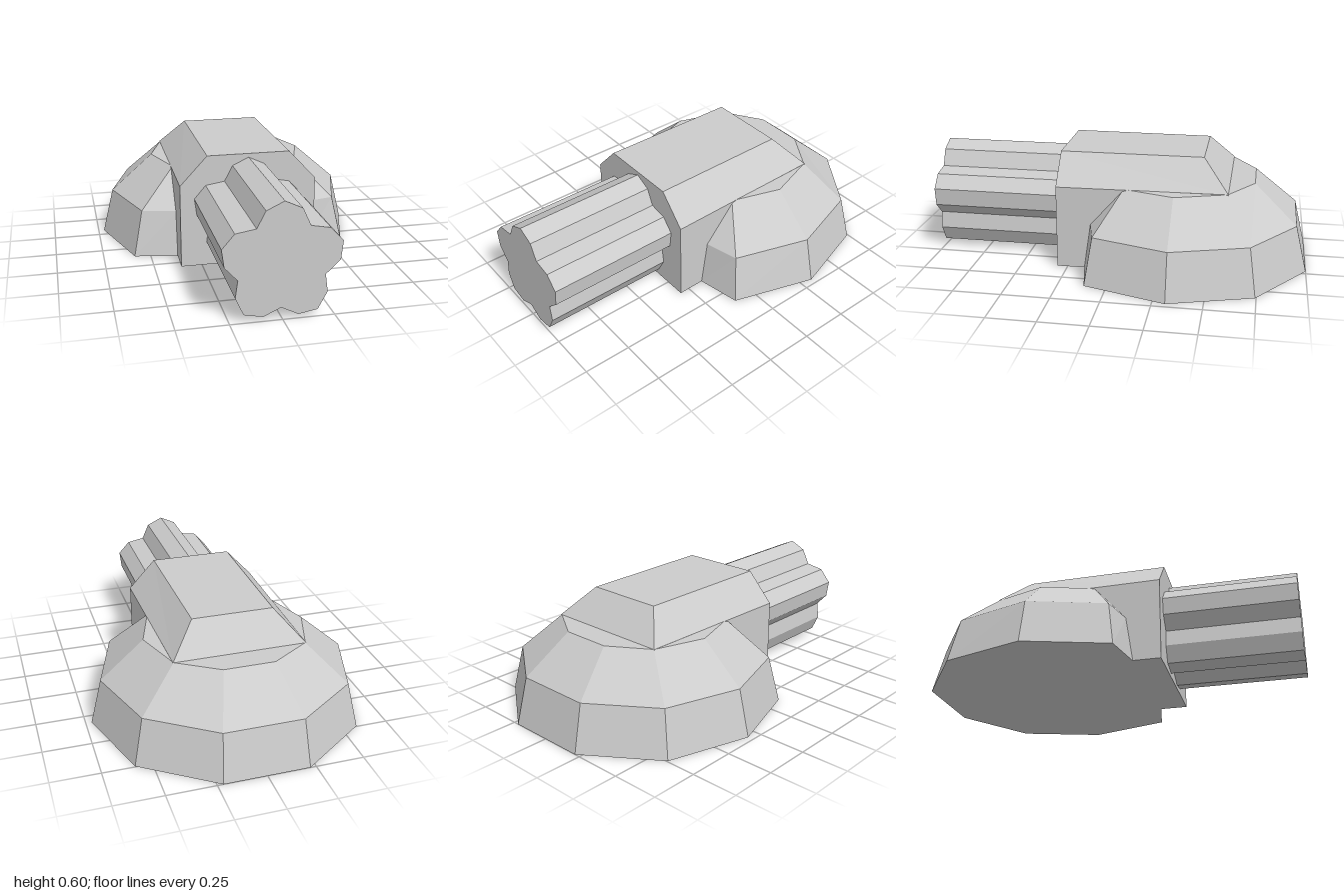
import * as THREE from 'three';

const material = new THREE.MeshStandardMaterial({ color: 0xcccccc, flatShading: true });

// Flat-shaded mesh from quads and triangles given as corner lists (counter-clockwise outside)
function facetMesh(name, faces) {
  const pos = [];
  for (const f of faces)
    for (let i = 1; i < f.length - 1; i++) pos.push(...f[0], ...f[i], ...f[i + 1]);
  const geo = new THREE.BufferGeometry();
  geo.setAttribute('position', new THREE.Float32BufferAttribute(pos, 3));
  geo.computeVertexNormals();
  const mesh = new THREE.Mesh(geo, material);
  mesh.name = name;
  return mesh;
}

// Mirrors a right-hand half ring of [x, z] points into a full open ring at height y
function ring(y, half) {
  const right = half.map(([x, z]) => [x, y, z]);
  const left = half.map(([x, z]) => [-x, y, z]).reverse();
  return [...right, ...left];
}

// Strips of quads between consecutive rings
function bridge(rings) {
  const faces = [];
  for (let r = 0; r < rings.length - 1; r++)
    for (let i = 0; i < rings[r].length - 1; i++)
      faces.push([rings[r][i], rings[r][i + 1], rings[r + 1][i + 1], rings[r + 1][i]]);
  return faces;
}

export function createModel() {
  const model = new THREE.Group();
  model.name = 'model';

  // Ten-sided dome, open at the front where the block passes through
  const foot = ring(0, [[0.355, 0.16], [0.585, 0.115], [0.72, -0.315], [0.585, -0.745], [0.22, -1]]);
  const waist = ring(0.245, [[0.352, 0.125], [0.535, 0.08], [0.66, -0.315], [0.535, -0.71], [0.205, -0.94]]);
  const crown = ring(0.445, [[0.345, -0.05], [0.345, -0.05], [0.43, -0.315], [0.342, -0.582], [0.133, -0.715]]);
  model.add(facetMesh('dome', [...bridge([foot, waist, crown]), crown]));

  // Block with a chamfered roof and a sloped back
  const front = [[0.36, 0, 0.305], [0.36, 0.443, 0.305], [0.217, 0.597, 0.305],
    [-0.217, 0.597, 0.305], [-0.36, 0.443, 0.305], [-0.36, 0, 0.305]];
  const back = [[0.345, 0, -0.585], [0.345, 0.446, -0.585], [0.212, 0.597, -0.45],
    [-0.212, 0.597, -0.45], [-0.345, 0.446, -0.585], [-0.345, 0, -0.585]];
  model.add(facetMesh('block', [
    front,
    ...bridge([back, front]),
    [back[1], back[4], back[3], back[2]],
  ]));

  // Flat underside shared by the dome and the block
  const outline = [...foot, [-0.36, 0, 0.16], [-0.36, 0, 0.305], [0.36, 0, 0.305], [0.36, 0, 0.16]];
  const baseGeo = new THREE.ShapeGeometry(
    new THREE.Shape(outline.map(([x, , z]) => new THREE.Vector2(x, z))));
  baseGeo.rotateX(Math.PI / 2);
  const base = new THREE.Mesh(baseGeo, material);
  base.name = 'underside';
  model.add(base);

  // Five-lobed shaft projecting from the block
  const lobes = [[0, 0.577], [0.085, 0.537], [0.124, 0.452], [0.218, 0.434], [0.28, 0.367],
    [0.27, 0.274], [0.2, 0.208], [0.212, 0.12], [0.166, 0.035], [0.073, 0.02],
    [-0.008, 0.062], [-0.093, 0.023], [-0.185, 0.042], [-0.224, 0.127], [-0.212, 0.214],
    [-0.274, 0.282], [-0.286, 0.37], [-0.226, 0.44], [-0.127, 0.456], [-0.085, 0.537]];
  const shaftGeo = new THREE.ExtrudeGeometry(
    new THREE.Shape(lobes.map(([x, y]) => new THREE.Vector2(x, y))),
    { depth: 0.7, bevelEnabled: false });
  shaftGeo.translate(0, 0, 0.3);
  const shaft = new THREE.Mesh(shaftGeo, material);
  shaft.name = 'lobedShaft';
  model.add(shaft);

  return model;
}
